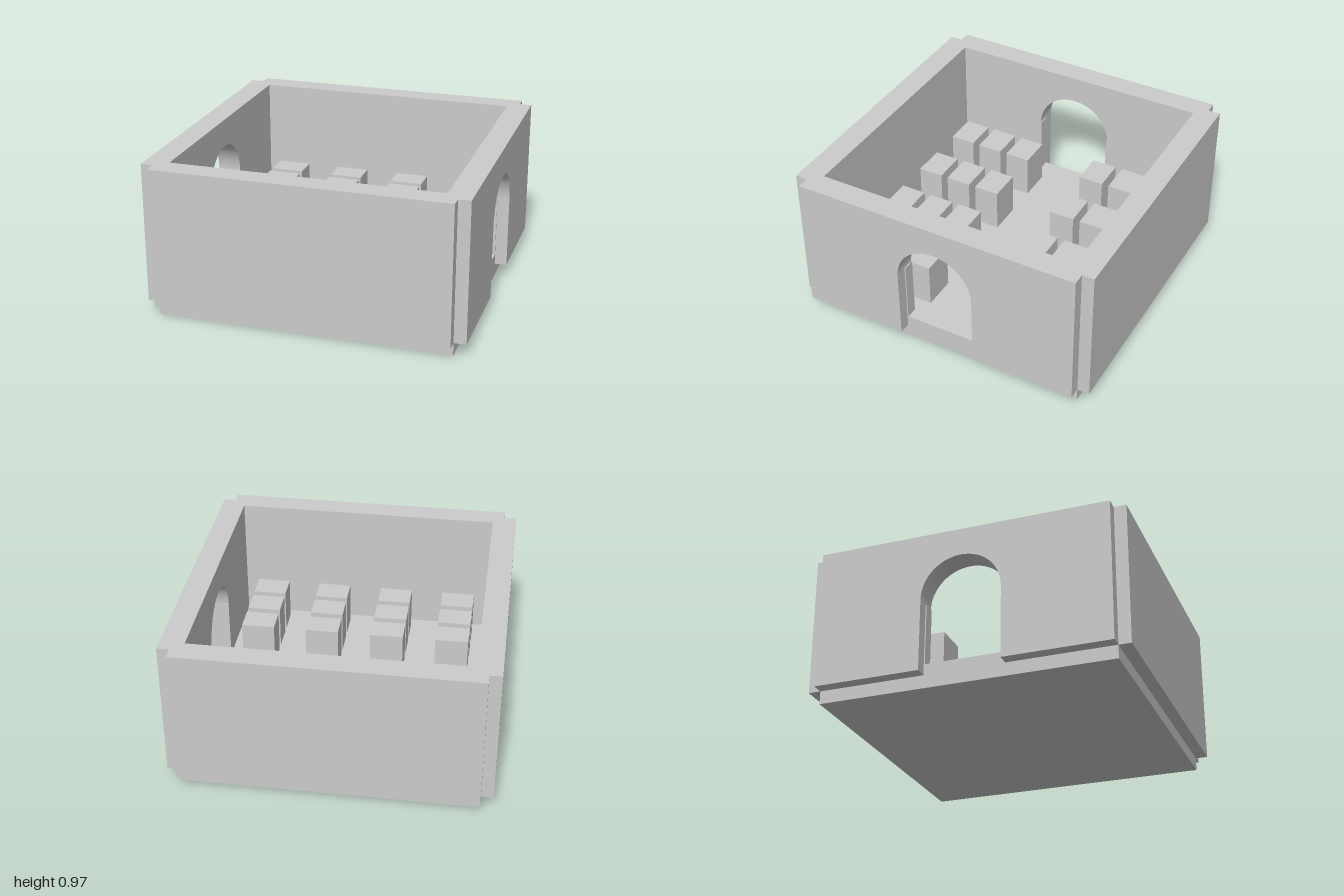
import * as THREE from 'three';
import { toCreasedNormals } from 'three/addons/utils/BufferGeometryUtils.js';

const INNER = 0.848, MID = 0.923, OUTER = 1; // wall layers, measured from the centre
const LEDGE = 0.083, FLOOR = 0.153, TOP = 0.973; // heights
const ARCH_R = 0.253, SPRING = 0.544;

export function createModel() {
  const model = new THREE.Group();
  const material = new THREE.MeshStandardMaterial({ color: 0xcccccc });

  const add = (name, geometry, parent = model) => {
    const mesh = new THREE.Mesh(geometry, material);
    mesh.name = name;
    parent.add(mesh);
    return mesh;
  };
  const box = (name, x0, x1, y0, y1, z0, z1, parent) =>
    add(name, new THREE.BoxGeometry(x1 - x0, y1 - y0, z1 - z0), parent)
      .position.set((x0 + x1) / 2, (y0 + y1) / 2, (z0 + z1) / 2);

  // Floor slab, set in from the outer wall faces
  box('floorSlab', -MID, MID, 0, FLOOR, -MID, MID);

  // Solid front and back walls: an outer panel and an inner lining
  for (const [name, s] of [['frontWall', 1], ['backWall', -1]]) {
    const wall = new THREE.Group();
    wall.name = name;
    const span = (a, b) => (s > 0 ? [a, b] : [-b, -a]);
    box('outerPanel', -MID, MID, LEDGE, TOP, ...span(MID, OUTER), wall);
    box('innerLining', -INNER, INNER, FLOOR, TOP, ...span(INNER, MID), wall);
    model.add(wall);
  }

  // Side panel with an arched doorway open at the bottom
  const archedPanel = (bottom, jamb, thickness) => {
    const shape = new THREE.Shape();
    shape.moveTo(-MID, bottom);
    shape.lineTo(-jamb, bottom);
    shape.lineTo(-jamb, SPRING);
    shape.lineTo(-ARCH_R, SPRING);
    shape.absarc(0, SPRING, ARCH_R, Math.PI, 0, true);
    shape.lineTo(jamb, SPRING);
    shape.lineTo(jamb, bottom);
    shape.lineTo(MID, bottom);
    shape.lineTo(MID, TOP);
    shape.lineTo(-MID, TOP);
    shape.closePath();
    const geometry = new THREE.ExtrudeGeometry(shape, {
      depth: thickness, bevelEnabled: false, curveSegments: 40,
    });
    geometry.rotateY(Math.PI / 2);
    return toCreasedNormals(geometry, 0.5);
  };

  // Left and right walls; the lining has slightly narrower jambs
  for (const [name, turn] of [['leftWall', 0], ['rightWall', Math.PI]]) {
    const wall = new THREE.Group();
    wall.name = name;
    add('outerArchPanel', archedPanel(LEDGE, ARCH_R + 0.0005, OUTER - MID), wall).position.x = MID;
    add('innerArchLining', archedPanel(FLOOR, 0.247, MID - INNER), wall).position.x = INNER;
    wall.rotation.y = turn;
    model.add(wall);
  }

  // Seat blocks: four columns, three rows on each side of the aisle
  const seats = new THREE.Group();
  seats.name = 'seatBlocks';
  for (const x of [-0.646, -0.217, 0.214, 0.643]) {
    for (const z of [-0.712, -0.498, -0.285, 0.274, 0.488, 0.701]) {
      box('seatBlock', x - 0.108, x + 0.108, FLOOR, 0.434, z - 0.083, z + 0.083, seats);
    }
  }
  model.add(seats);

  return model;
}
